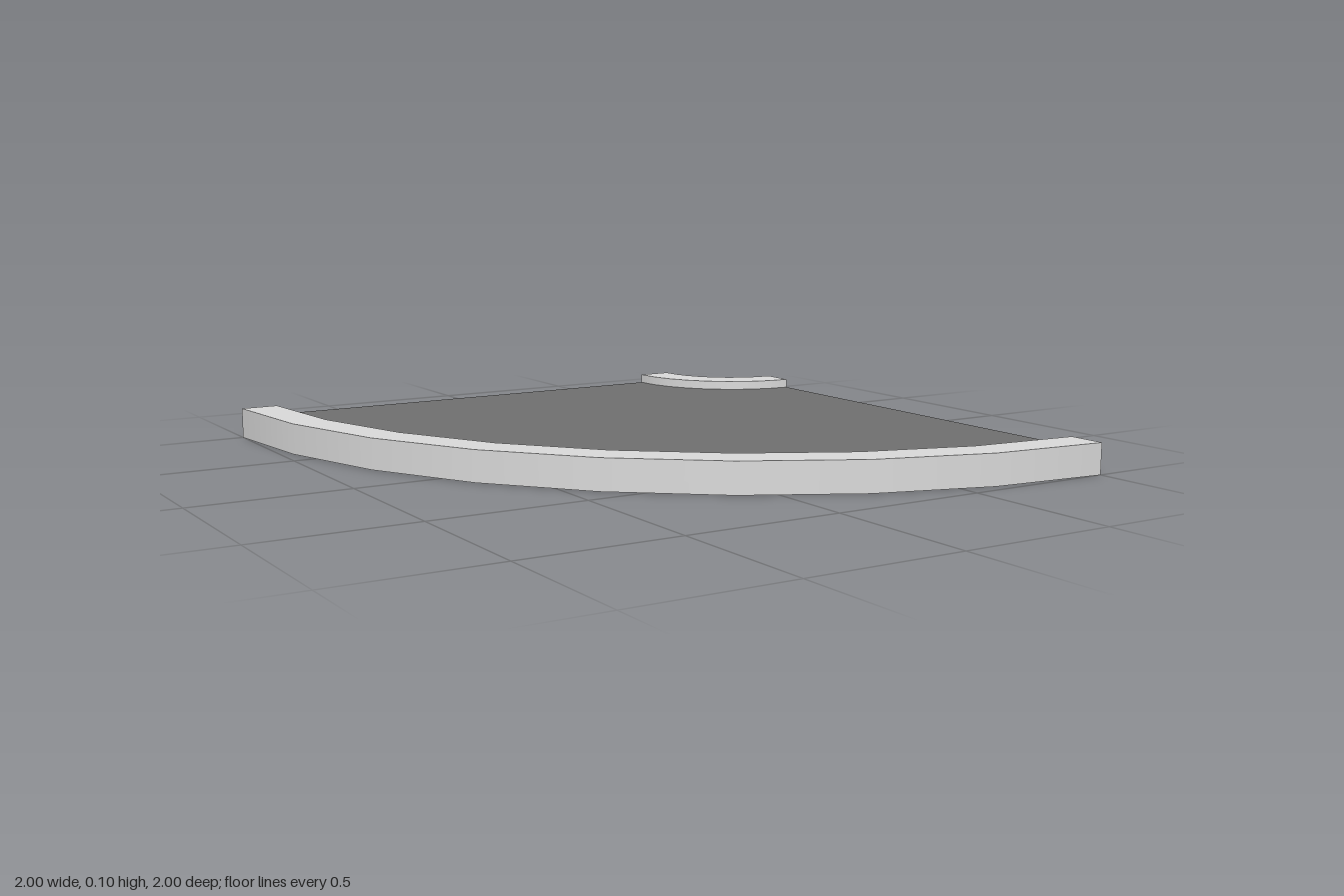
import * as THREE from 'three';
import { mergeGeometries } from 'three/addons/utils/BufferGeometryUtils.js';

const SEGMENTS = 8;
const ROAD_Y = 0.07;
const KERB_Y = 0.1;
const R = { innerEdge: 0.287, roadIn: 0.403, roadOut: 1.877, outerEdge: 2 };

// Quarter-turn strip swept from one profile edge [r, y] -> [r, y]
function strip(a, b) {
  const points = [new THREE.Vector2(...a), new THREE.Vector2(...b)];
  return new THREE.LatheGeometry(points, SEGMENTS, Math.PI * 1.5, Math.PI / 2);
}

// The two flat end faces of a swept rectangle
function endCaps(r0, r1, height) {
  const mid = (r0 + r1) / 2;
  const plane = () => new THREE.PlaneGeometry(r1 - r0, height);
  return [
    plane().rotateY(Math.PI / 2).translate(0, height / 2, mid),
    plane().rotateY(Math.PI).translate(-mid, height / 2, 0),
  ];
}

export function createModel() {
  const group = new THREE.Group();
  group.name = 'curvedRoadTile';
  const kerbMaterial = new THREE.MeshStandardMaterial({ color: 0xdadada });
  kerbMaterial.name = 'lightGrey';
  const roadMaterial = new THREE.MeshStandardMaterial({ color: 0x6f6f6f });
  roadMaterial.name = 'darkGrey';

  // All arcs share the back corner as their centre
  const add = (name, parts, material) => {
    const mesh = new THREE.Mesh(mergeGeometries(parts), material);
    mesh.name = name;
    mesh.position.set(1, 0, -1);
    group.add(mesh);
  };

  // Road surface and its straight ends
  add('road', [
    strip([R.roadOut, ROAD_Y], [R.roadIn, ROAD_Y]),
    ...endCaps(R.roadIn, R.roadOut, ROAD_Y),
  ], roadMaterial);

  // Pale underside across the road and both kerbs
  add('underside', [strip([R.innerEdge, 0], [R.outerEdge, 0])], kerbMaterial);

  // Outer kerb: outside wall, top, lip down to the road
  add('outerKerb', [
    strip([R.outerEdge, 0], [R.outerEdge, KERB_Y]),
    strip([R.outerEdge, KERB_Y], [R.roadOut, KERB_Y]),
    strip([R.roadOut, KERB_Y], [R.roadOut, ROAD_Y]),
    ...endCaps(R.roadOut, R.outerEdge, KERB_Y),
  ], kerbMaterial);

  // Inner kerb around the corner
  add('innerKerb', [
    strip([R.roadIn, ROAD_Y], [R.roadIn, KERB_Y]),
    strip([R.roadIn, KERB_Y], [R.innerEdge, KERB_Y]),
    strip([R.innerEdge, KERB_Y], [R.innerEdge, 0]),
    ...endCaps(R.innerEdge, R.roadIn, KERB_Y),
  ], kerbMaterial);

  return group;
}
